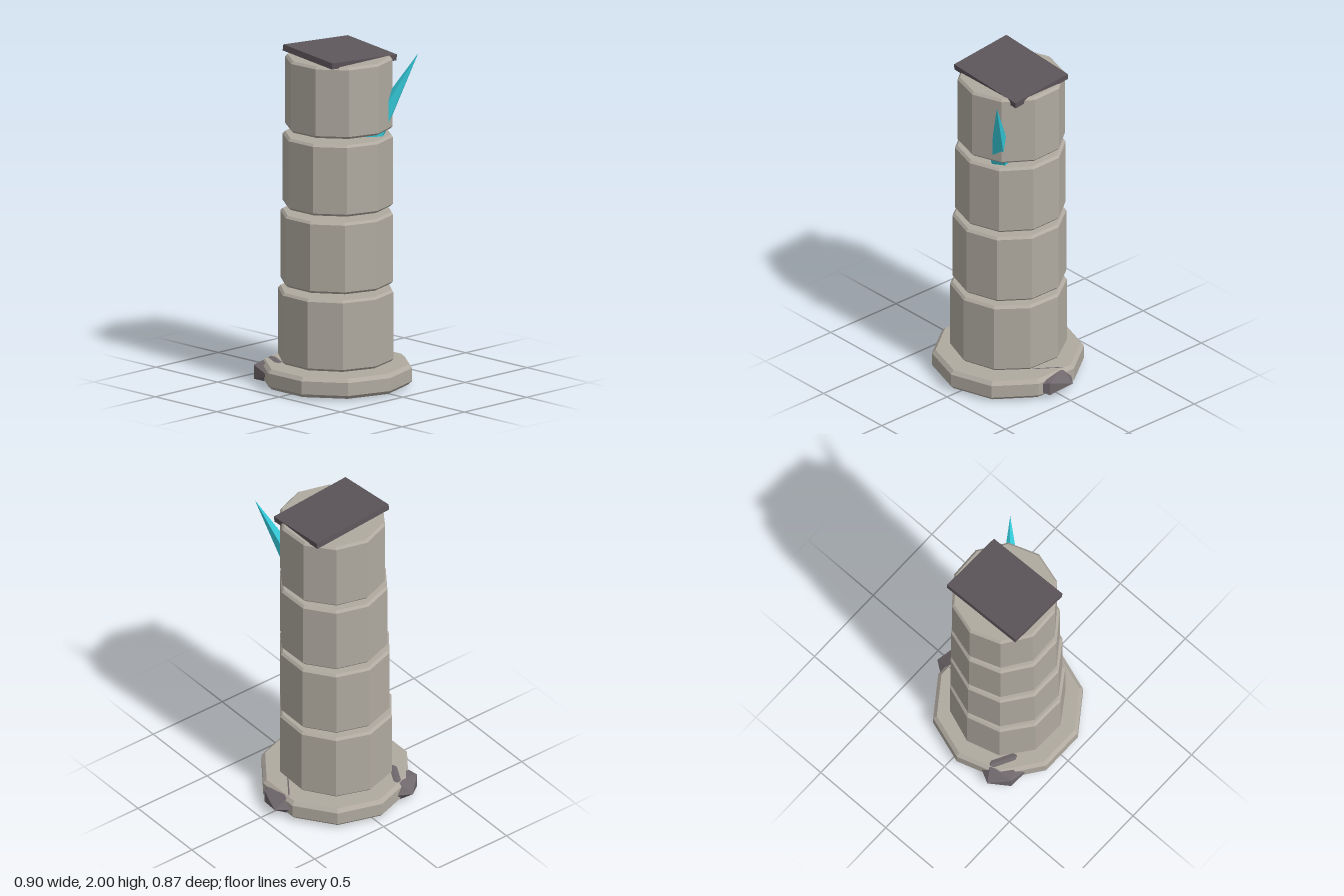
import * as THREE from 'three';

const mat = (color) => new THREE.MeshStandardMaterial({ color, flatShading: true });

export function createModel() {
  const model = new THREE.Group();
  const stone = mat(0xb0aaa0);
  const slate = mat(0x5c555a);
  const rubble = mat(0x6e676b);
  const crystal = mat(0x34c8d8);

  const add = (name, geometry, material, x, y, z) => {
    const mesh = new THREE.Mesh(geometry, material);
    mesh.name = name;
    mesh.position.set(x, y, z);
    model.add(mesh);
    return mesh;
  };

  // Ten-sided stone block with chamfered rims
  const block = (r, h, c) => new THREE.LatheGeometry([
    [0, 0], [r - c, 0], [r, c], [r, h - c], [r - c, h], [0, h],
  ].map(([x, y]) => new THREE.Vector2(x, y)), 10);

  // Plinth
  add('plinth', block(0.437, 0.118, 0.021), stone, -0.038, 0.01, 0);

  // Column drums, each a little narrower, shifted and turned
  for (let i = 0; i < 4; i++) {
    const drum = add('columnDrum' + (i + 1), block(0.335 - i * 0.0083, 0.42, 0.014), stone,
      -0.04 + i * 0.0083, 0.145 + i * 0.4533, -0.005);
    drum.rotation.y = -0.03 + i * 0.022;
  }

  // Tilted cap slab, highest at the back left corner as seen from the front
  const cap = add('capSlab', new THREE.BoxGeometry(0.524, 0.036, 0.402), slate, -0.012, 1.943, 0);
  cap.rotation.set(0.107, 0, -0.072);

  // Crystal shard leaning out of the upper joint
  const foot = new THREE.Vector3(0.073, 1.43, 0.152);
  const tip = new THREE.Vector3(0.266, 1.952, 0.356);
  const axis = tip.clone().sub(foot);
  const mid = foot.clone().add(tip).multiplyScalar(0.5);
  const shard = add('crystalShard', new THREE.ConeGeometry(0.077, axis.length(), 5), crystal, mid.x, mid.y, mid.z);
  shard.quaternion.setFromUnitVectors(new THREE.Vector3(0, 1, 0), axis.normalize());

  // Flattened rubble stones half buried in the plinth: radius, height scale, x, z, turn
  [
    [0.162, 0.455, 0.3, 0, 0.95],
    [0.15, 0.52, -0.255, -0.28, 1.09],
  ].forEach(([r, flat, x, z, turn], i) => {
    const rock = add('rubbleStone' + (i + 1), new THREE.IcosahedronGeometry(r, 0), rubble, x, 0.066, z);
    rock.scale.y = flat;
    rock.rotation.y = turn;
  });

  return model;
}
